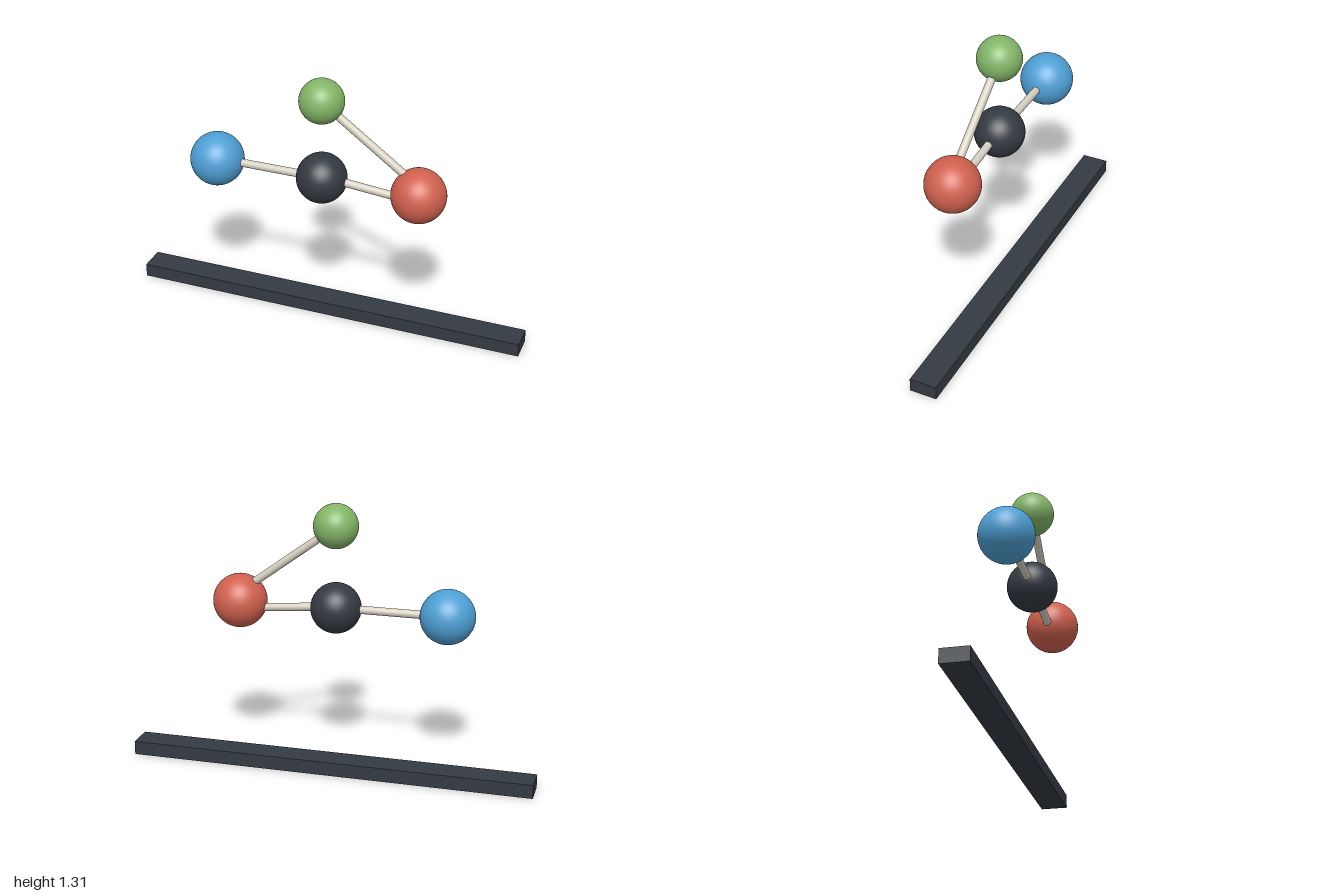
import * as THREE from 'three';

const paint = (name, color) => {
  const m = new THREE.MeshStandardMaterial({ color });
  m.name = name;
  return m;
};

export function createModel() {
  const dark = paint('charcoal', 0x343a42);
  const blue = paint('blue', 0x4f9fd4);
  const red = paint('red', 0xd0614f);
  const green = paint('green', 0x83b568);
  const cream = paint('cream', 0xd6cfc2);

  const model = new THREE.Group();
  model.name = 'ballAndRodModel';
  const Z = 0.018; // plane shared by the balls and rods

  const add = (name, geometry, material, x, y, z) => {
    const mesh = new THREE.Mesh(geometry, material);
    mesh.name = name;
    mesh.position.set(x, y, z);
    model.add(mesh);
    return mesh;
  };

  // Long base bar, set behind the balls
  add('baseBar', new THREE.BoxGeometry(2, 0.068, 0.133), dark, 0, 0.034, -0.0835);

  // Balls
  const balls = [
    ['centreBall', dark, 0, 0.802, 0.123],
    ['rightBall', blue, -0.543, 0.802, 0.132],
    ['leftBall', red, 0.482, 0.802, 0.132],
    ['topBall', green, 0, 1.203, 0.108],
  ];
  for (const [name, material, x, y, r] of balls) {
    add(name, new THREE.SphereGeometry(r, 48, 32), material, x, y, Z);
  }

  // Rods, each running from inside one ball to inside the next
  const rods = [
    ['rightRod', -0.543, 0.802, 0, 0.802],
    ['leftRod', 0, 0.808, 0.46, 0.767],
    ['upperRod', 0, 1.2, 0.46, 0.862],
  ];
  const up = new THREE.Vector3(0, 1, 0);
  for (const [name, x1, y1, x2, y2] of rods) {
    const dir = new THREE.Vector3(x2 - x1, y2 - y1, 0);
    const geometry = new THREE.CylinderGeometry(0.0195, 0.0195, dir.length(), 24);
    const rod = add(name, geometry, cream, (x1 + x2) / 2, (y1 + y2) / 2, Z);
    rod.quaternion.setFromUnitVectors(up, dir.normalize());
  }

  return model;
}
